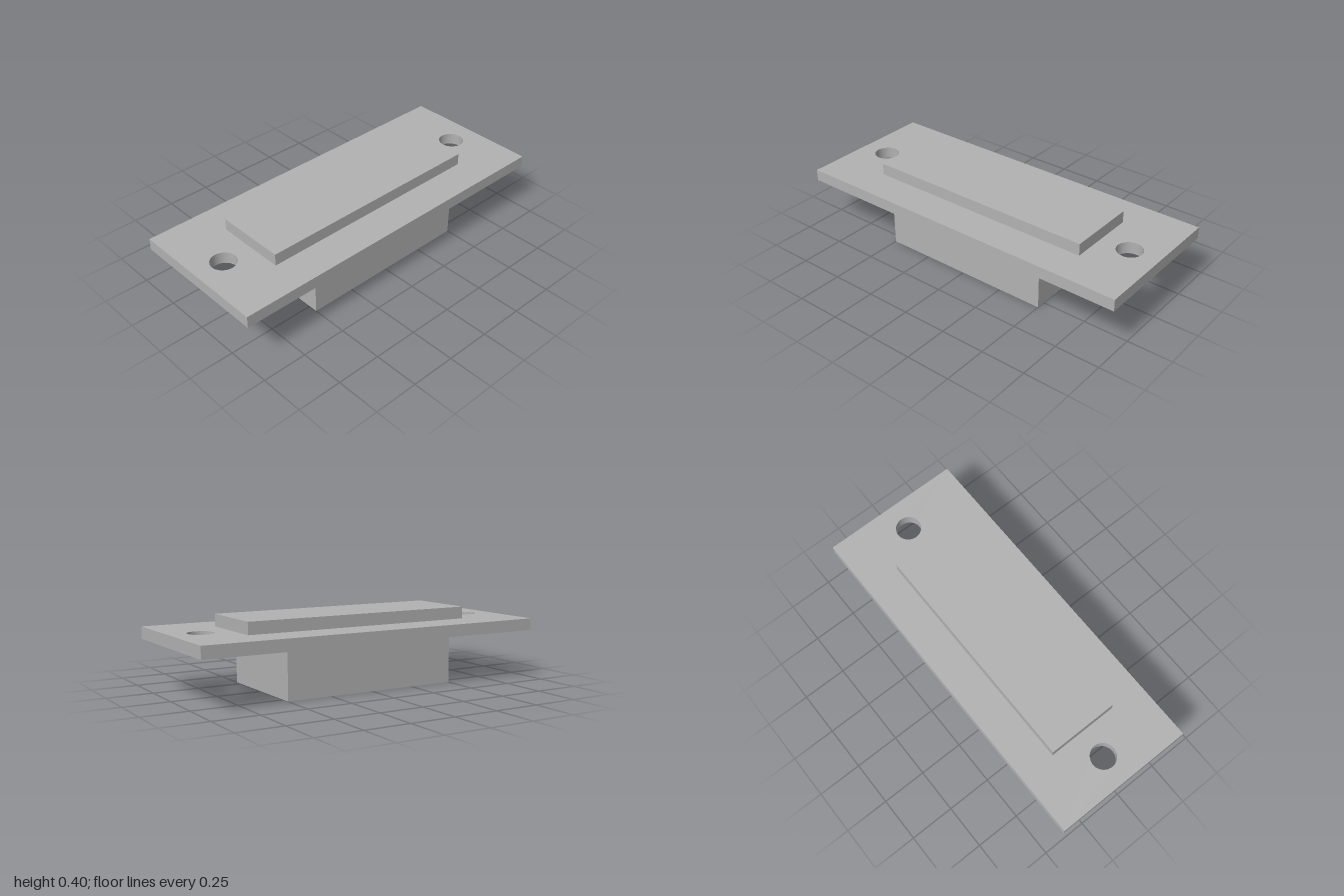
import * as THREE from 'three';

export function createModel() {
  const group = new THREE.Group();
  const grey = new THREE.MeshStandardMaterial({ color: 0xb2b2b2 });
  grey.name = 'grey';

  const add = (name, geometry, y) => {
    const mesh = new THREE.Mesh(geometry, grey);
    mesh.name = name;
    mesh.position.y = y;
    group.add(mesh);
  };

  // Levels of the stacked parts
  const plateBottom = 0.267, plateTop = 0.333, top = 0.4;

  // Body below the plate
  add('body', new THREE.BoxGeometry(0.6, plateBottom, 1), plateBottom / 2);

  // Mounting plate with a screw hole near each end
  const outline = new THREE.Shape([
    new THREE.Vector2(-0.4, -1), new THREE.Vector2(0.4, -1),
    new THREE.Vector2(0.4, 1), new THREE.Vector2(-0.4, 1),
  ]);
  for (const z of [-0.833, 0.833]) {
    outline.holes.push(new THREE.Path().absarc(0, z, 0.07, 0, Math.PI * 2, true));
  }
  const plate = new THREE.ExtrudeGeometry(outline, {
    depth: plateTop - plateBottom, bevelEnabled: false, curveSegments: 40,
  });
  plate.rotateX(-Math.PI / 2);
  add('mountingPlate', plate, plateBottom);

  // Raised block on top of the plate
  add('raisedBlock', new THREE.BoxGeometry(0.4, top - plateTop, 1.333), (top + plateTop) / 2);

  return group;
}
